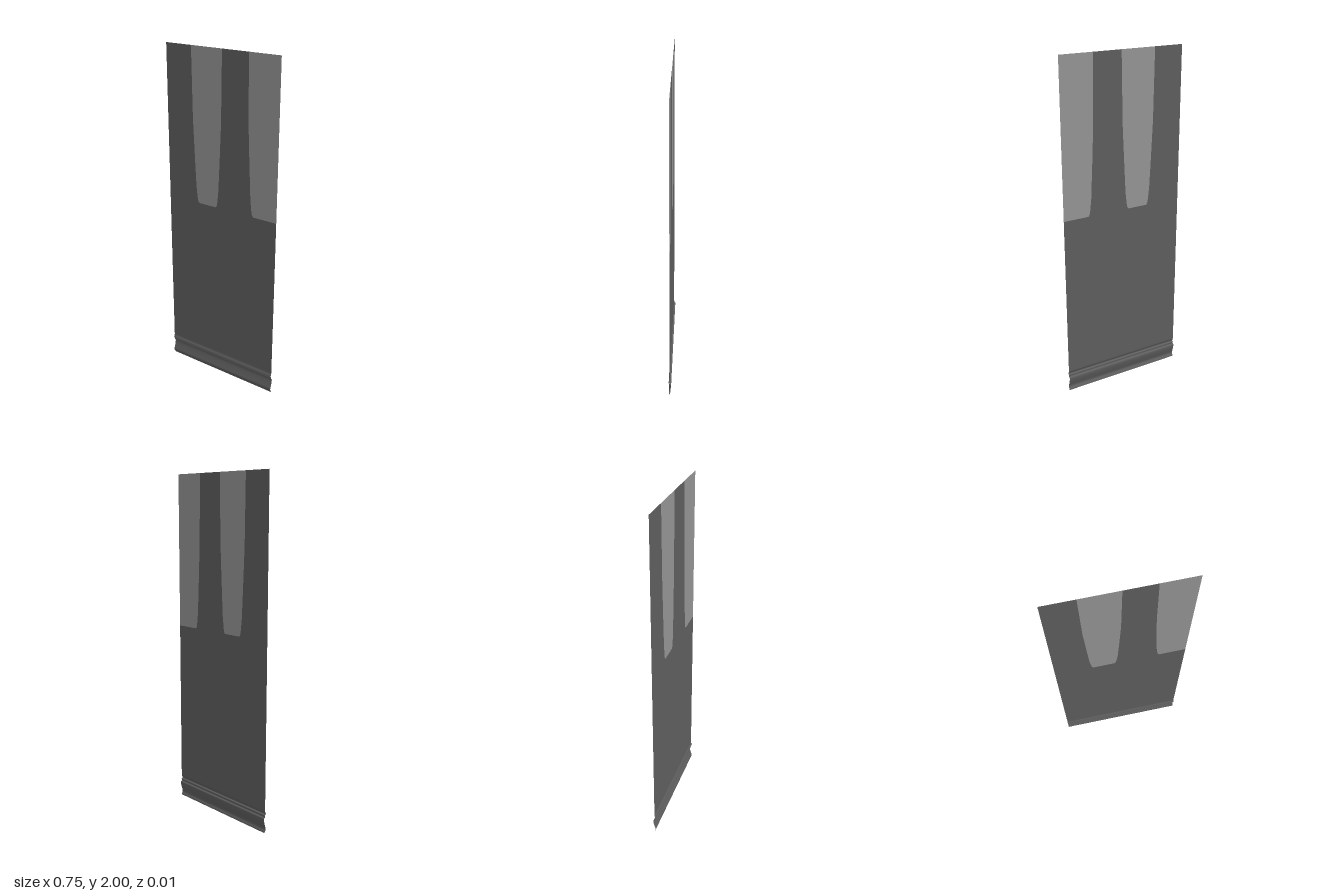
import * as THREE from 'three';

const HALF = 0.375, TOP = 2, SEAM = 0.14;

export function createModel() {
  const dark = new THREE.MeshStandardMaterial({ name: 'darkGrey', color: 0x5e5e5e, side: THREE.DoubleSide });
  const light = new THREE.MeshStandardMaterial({ name: 'lightGrey', color: 0x949494, side: THREE.DoubleSide });
  const group = new THREE.Group();
  group.name = 'panel';
  const add = (name, geometry, material) => {
    const mesh = new THREE.Mesh(geometry, material);
    mesh.name = name;
    group.add(mesh);
  };
  const flat = (points) => new THREE.ShapeGeometry(new THREE.Shape(points.map(([x, y]) => new THREE.Vector2(x, y))));

  // Tapering edge of a pale strip: inset from its top corner, and height
  const taper = [[0, TOP], [0.006, 1.6], [0.015, 1.4], [0.025, 1.2], [0.033, 1.13], [0.037, 1.11], [0.045, 1.1]];
  const leftEdge = (x) => taper.map(([d, y]) => [x + d, y]);
  const rightEdge = (x) => taper.map(([d, y]) => [x - d, y]).reverse();
  const middle = [...leftEdge(-0.2), ...rightEdge(0.008)];
  const side = [...leftEdge(0.178), [HALF, 1.1]];

  // Dark sheet with the strips cut out of its upper edge
  add('sheet', flat([[-HALF, SEAM], [-HALF, TOP], ...middle, ...side, [HALF, SEAM]].reverse()), dark);
  add('middleStrip', flat([...middle].reverse()), light);
  add('sideStrip', flat([...side, [HALF, TOP]].reverse()), light);

  // Moulded bottom edge: height and depth, from the sheet downwards
  const moulding = [
    [SEAM, 0], [0.128, 0.001], [0.117, 0.006], [0.111, 0.006], [0.107, -0.001], [0.1, 0],
    [0.094, -0.001], [0.09, -0.007], [0.08, -0.008], [0.06, -0.004], [0.04, 0.002],
    [0.026, 0.006], [0.016, 0.005], [0.008, 0], [0, -0.002],
  ];
  const curve = new THREE.CatmullRomCurve3(moulding.map(([y, z]) => new THREE.Vector3(0, y, z)));
  const rows = 56;
  const base = new THREE.PlaneGeometry(2 * HALF, SEAM, 1, rows);
  const pos = base.attributes.position;
  for (let i = 0; i < pos.count; i++) {
    const p = curve.getPoint(Math.floor(i / 2) / rows);
    pos.setY(i, p.y);
    pos.setZ(i, p.z);
  }
  base.computeVertexNormals();
  add('bottomMoulding', base, dark);

  return group;
}
